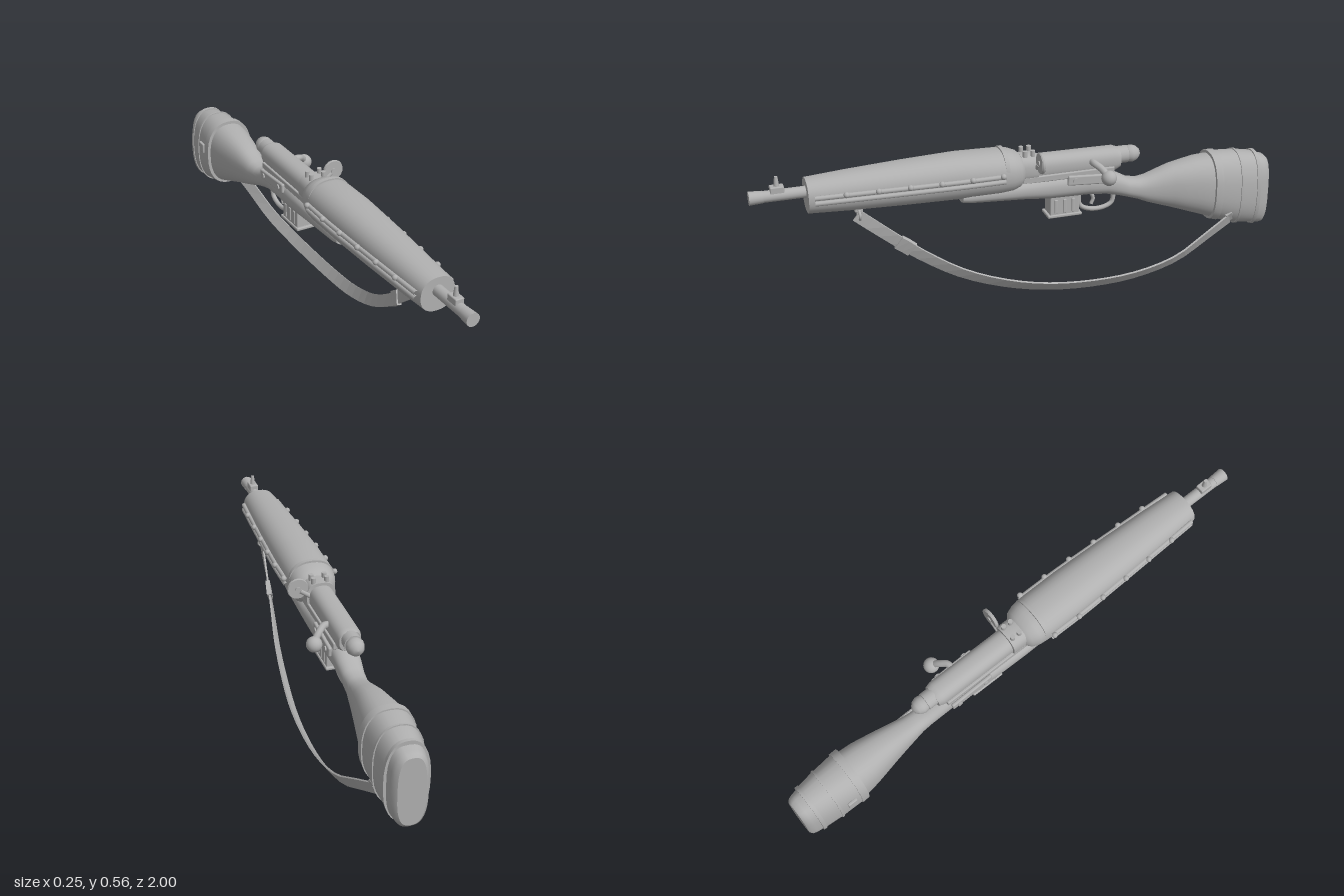
import * as THREE from 'three';
import { RoundedBoxGeometry } from 'three/addons/geometries/RoundedBoxGeometry.js';

const CX = -0.02; // centre line of the rifle
const grey = new THREE.MeshStandardMaterial({ color: 0xb0b0b0 });
grey.name = 'plain grey';

// Loft of rounded sections [z, top, bottom, halfWidth], listed from front to back
function loft(sections, power = 2, cx = CX, n = 32) {
  const pos = [], idx = [];
  const ring = ([z, top, bot, hw]) => {
    for (let j = 0; j < n; j++) {
      const a = (j / n) * Math.PI * 2, c = Math.cos(a), s = Math.sin(a);
      const f = (v) => Math.sign(v) * Math.abs(v) ** (2 / power);
      pos.push(cx + hw * f(c), (top + bot) / 2 + ((top - bot) / 2) * f(s), z);
    }
  };
  sections.forEach(ring);
  for (let i = 0; i < sections.length - 1; i++)
    for (let j = 0; j < n; j++) {
      const k = (j + 1) % n, a = i * n + j, b = i * n + k;
      idx.push(a, a + n, b, b, a + n, b + n);
    }
  // end caps keep their own vertices so their rims stay sharp
  [sections[0], sections[sections.length - 1]].forEach((s, e) => {
    const base = pos.length / 3;
    ring(s);
    pos.push(cx, (s[1] + s[2]) / 2, s[0]);
    for (let j = 0; j < n; j++) {
      const p = base + j, q = base + ((j + 1) % n);
      idx.push(base + n, e ? q : p, e ? p : q);
    }
  });
  const g = new THREE.BufferGeometry();
  g.setAttribute('position', new THREE.Float32BufferAttribute(pos, 3));
  g.setIndex(idx);
  g.computeVertexNormals();
  return g;
}

// Flat strap: rectangular section swept along a curve, leaning further out with height lost
function strapGeometry(points, width, thick, steps) {
  const curve = new THREE.CatmullRomCurve3(points.map((p) => new THREE.Vector3(...p)));
  const pos = [], idx = [];
  for (let i = 0; i <= steps; i++) {
    const p = curve.getPointAt(i / steps), t = curve.getTangentAt(i / steps);
    const lean = THREE.MathUtils.clamp((0.4 - p.y) * 2, 0.05, 0.72);
    const w = new THREE.Vector3(lean, -t.z, t.y).normalize();
    if (w.y < 0) w.set(lean, t.z, -t.y).normalize();
    w.addScaledVector(t, -w.dot(t)).normalize();
    const m = new THREE.Vector3().crossVectors(t, w);
    for (const [a, b] of [[1, 1], [-1, 1], [-1, -1], [1, -1]]) {
      const v = p.clone().addScaledVector(w, (a * width) / 2).addScaledVector(m, (b * thick) / 2);
      pos.push(v.x, v.y, v.z);
    }
  }
  for (let i = 0; i < steps; i++)
    for (let j = 0; j < 4; j++) {
      const a = i * 4 + j, b = i * 4 + ((j + 1) % 4);
      idx.push(a, b, a + 4, b, b + 4, a + 4);
    }
  const e = steps * 4;
  idx.push(0, 2, 1, 0, 3, 2, e, e + 1, e + 2, e, e + 2, e + 3);
  const indexed = new THREE.BufferGeometry();
  indexed.setAttribute('position', new THREE.Float32BufferAttribute(pos, 3));
  indexed.setIndex(idx);
  const g = indexed.toNonIndexed();
  g.computeVertexNormals();
  return g;
}

export function createModel() {
  const model = new THREE.Group();
  model.name = 'rifle';
  const add = (name, geo, x = 0, y = 0, z = 0, rx = 0, ry = 0, rz = 0) => {
    const m = new THREE.Mesh(geo, grey);
    m.name = name;
    m.position.set(x, y, z);
    m.rotation.set(rx, ry, rz);
    model.add(m);
    return m;
  };
  const H = Math.PI / 2;
  const tube = (pts, r, n = 24) =>
    new THREE.TubeGeometry(new THREE.CatmullRomCurve3(pts.map((p) => new THREE.Vector3(...p))), n, r, 10);
  const rod = (r, len, r2 = r) => new THREE.CylinderGeometry(r, r2, len, 20);
  const box = (w, h, d, r = 0.004) => new RoundedBoxGeometry(w, h, d, 2, r);

  // barrel, muzzle and front sight
  add('barrel', rod(0.021, 0.22), CX, 0.494, 0.87, H);
  add('muzzle', rod(0.025, 0.05, 0.022), CX, 0.494, 0.975, H);
  add('frontSightBase', box(0.034, 0.03, 0.05), CX, 0.515, 0.9);
  add('frontSightPost', rod(0.006, 0.045, 0.011), CX, 0.542, 0.9);

  // padded handguard around the barrel
  const guard = [
    [0.8, 0.543, 0.417, 0.066], [0.65, 0.553, 0.41, 0.075], [0.45, 0.563, 0.404, 0.084],
    [0.25, 0.57, 0.4, 0.09], [0.1, 0.566, 0.4, 0.09], [0.05, 0.56, 0.404, 0.086],
    [0.02, 0.548, 0.415, 0.075], [0.003, 0.53, 0.43, 0.055],
  ];
  add('handguard', loft(guard, 2.3));
  add('handguardRearBand', loft([[0.085, 0.57, 0.41, 0.087], [0.07, 0.57, 0.41, 0.087]], 2.3));

  // riveted seams on both sides of the handguard
  const seamX = (z) => 0.09 - 0.022 * Math.max(0, (z - 0.25) / 0.55) ** 1.1;
  for (const s of [-1, 1]) {
    for (const y of [0.493, 0.473]) {
      const pts = [0.78, 0.6, 0.4, 0.25, 0.09].map((z) => [CX + s * (seamX(z) + 0.002), y, z]);
      add('seamStrip', tube(pts, 0.009));
    }
    for (let i = 0; i < 6; i++) {
      const z = 0.1 + i * 0.114;
      add('rivet', new THREE.SphereGeometry(0.011, 12, 8), CX + s * (seamX(z) + 0.009), 0.497, z);
    }
  }

  // stock from fore-end through the wrist to the butt
  add('stock', loft([
    [0.24, 0.43, 0.386, 0.058], [0.21, 0.44, 0.38, 0.064], [0, 0.45, 0.365, 0.066],
    [-0.1, 0.45, 0.353, 0.063], [-0.25, 0.447, 0.348, 0.058], [-0.33, 0.435, 0.338, 0.05],
    [-0.38, 0.412, 0.325, 0.046], [-0.42, 0.39, 0.312, 0.042], [-0.46, 0.382, 0.298, 0.041],
    [-0.5, 0.388, 0.28, 0.046], [-0.55, 0.405, 0.262, 0.054], [-0.6, 0.42, 0.245, 0.063],
    [-0.7, 0.437, 0.208, 0.081], [-0.8, 0.443, 0.17, 0.09],
  ], 2.4));
  add('buttCuff', loft([
    [-0.78, 0.447, 0.174, 0.094], [-0.87, 0.443, 0.145, 0.087], [-0.945, 0.43, 0.132, 0.077],
  ], 2.4));
  add('buttPad', loft([
    [-0.94, 0.424, 0.136, 0.073], [-0.975, 0.416, 0.13, 0.066], [-0.99, 0.412, 0.131, 0.061],
    [-1, 0.402, 0.142, 0.05],
  ], 2.8));
  for (const [z, top, bot, hw, d] of [
    [-0.755, 0.452, 0.178, 0.098, 0.03], [-0.865, 0.447, 0.142, 0.091, 0.008], [-0.938, 0.436, 0.13, 0.081, 0.014],
  ]) add('stockBand', loft([[z, top, bot, hw], [z - d, top, bot - d * 0.3, hw]], 2.4));
  add('bandBuckle', box(0.012, 0.04, 0.04), CX - 0.093, 0.33, -0.82);

  // receiver and bolt
  add('receiver', loft([[0.03, 0.528, 0.43, 0.046], [-0.36, 0.523, 0.43, 0.046], [-0.38, 0.515, 0.44, 0.04]], 2.4));
  add('receiverRail', box(0.104, 0.025, 0.36), CX, 0.447, -0.17);
  add('boltCollar', rod(0.033, 0.04), CX, 0.485, -0.395, H);
  add('boltCap', new THREE.LatheGeometry(
    [[0, 0.055], [0.015, 0.052], [0.027, 0.04], [0.033, 0.022], [0.031, 0.006], [0.026, 0], [0, 0]]
      .reverse().map((p) => new THREE.Vector2(...p)), 24), CX, 0.485, -0.412, -H);
  add('boltHandle', tube([[0.01, 0.487, -0.26], [0.04, 0.487, -0.265], [0.065, 0.472, -0.285], [0.085, 0.45, -0.3]], 0.013));
  add('boltKnob', new THREE.SphereGeometry(0.029, 20, 14), 0.087, 0.442, -0.305);

  // rear mount with twin screws and round side sight
  add('rearMount', loft([[0.01, 0.538, 0.43, 0.055], [-0.05, 0.538, 0.43, 0.055]], 2.6));
  for (const x of [-0.045, 0.005])
    for (const z of [-0.005, -0.035]) add('mountScrew', rod(0.009, 0.03), x, 0.54, z);
  add('sightDisc', rod(0.038, 0.012), 0.068, 0.527, -0.045, H);
  add('sightRim', new THREE.TorusGeometry(0.034, 0.006, 8, 28), 0.068, 0.527, -0.045);
  add('sightHub', rod(0.01, 0.02), 0.068, 0.527, -0.045, H);
  add('sightArm', rod(0.01, 0.06), 0.035, 0.5, -0.045, 0, 0, -0.95);

  // side plates with screws
  for (const s of [-1, 1]) {
    const x = CX + s * 0.059;
    add('sidePlate', box(0.014, 0.038, 0.18, 0.006), x, 0.425, -0.25, -0.07);
    for (const z of [-0.19, -0.31]) add('plateScrew', rod(0.01, 0.018), x + s * 0.003, 0.425 + (z + 0.25) * 0.07, z, 0, 0, H);
  }

  // magazine
  add('magazine', box(0.066, 0.09, 0.115), CX, 0.325, -0.16);
  add('magazineFloor', box(0.076, 0.012, 0.135), CX, 0.281, -0.16);
  for (const s of [-1, 1])
    for (let i = 0; i < 3; i++) add('magazineRib', box(0.008, 0.055, 0.013, 0.003), CX + s * 0.033, 0.32, -0.125 - i * 0.034);

  // trigger and guard
  add('triggerGuard', tube([
    [CX, 0.355, -0.225], [CX, 0.3, -0.232], [CX, 0.279, -0.27], [CX, 0.278, -0.325],
    [CX, 0.295, -0.36], [CX, 0.335, -0.368],
  ], 0.009, 36));
  add('trigger', tube([[CX, 0.345, -0.275], [CX, 0.32, -0.285], [CX, 0.298, -0.277]], 0.007));

  // sling with its front ring, buckle and rear loop
  const path = [
    [0.02, 0.395, 0.63], [0.03, 0.305, 0.52], [0.043, 0.213, 0.4], [0.065, 0.125, 0.25], [0.085, 0.063, 0.07],
    [0.1, 0.034, -0.1], [0.105, 0.026, -0.3], [0.1, 0.037, -0.45], [0.085, 0.07, -0.6], [0.066, 0.13, -0.72], [0.045, 0.185, -0.83],
  ];
  add('sling', strapGeometry(path, 0.046, 0.007, 28));
  add('slingBuckle', strapGeometry([[0.034, 0.275, 0.485], [0.037, 0.258, 0.46], [0.04, 0.24, 0.437]], 0.054, 0.018, 2));
  const ring = add('slingRing', new THREE.TorusGeometry(0.024, 0.005, 8, 24), 0.01, 0.393, 0.62);
  ring.scale.y = 0.75;
  add('slingMount', box(0.03, 0.02, 0.03), 0, 0.412, 0.62);
  add('rearSlingLoop', box(0.016, 0.05, 0.03), 0.043, 0.195, -0.83, 0.5, 0, -0.5);
  return model;
}
